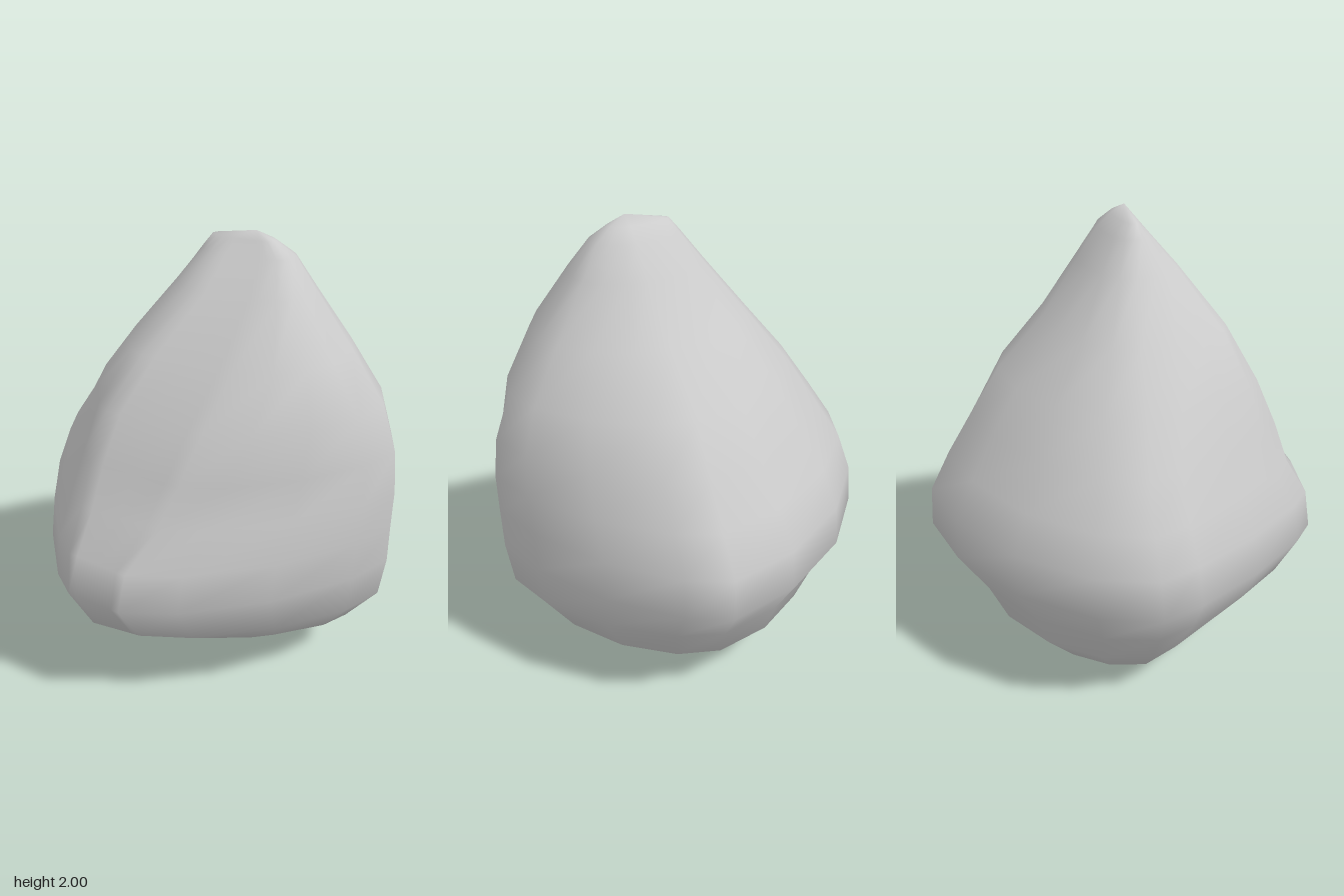
import * as THREE from 'three';

// Horizontal sections of the boulder: y, then the corners of the ring as [x, z]:
// left side, front left, front right, right side, back.
const SECTIONS = [
  [0.015, [0.14, -0.01], [-0.04, 0.12], [-0.16, 0.11], [-0.38, 0.0], [-0.02, -0.1]],
  [0.08, [0.4, 0.02], [0.0, 0.26], [-0.18, 0.26], [-0.46, 0.0], [0.04, -0.43]],
  [0.24, [0.65, 0.03], [0.0, 0.47], [-0.22, 0.47], [-0.61, -0.01], [0.09, -0.61]],
  [0.41, [0.79, 0.04], [-0.04, 0.73], [-0.26, 0.73], [-0.71, -0.02], [0.12, -0.7]],
  [0.6, [0.82, 0.05], [-0.07, 0.845], [-0.32, 0.81], [-0.835, -0.04], [0.15, -0.84]],
  [0.78, [0.825, 0.06], [-0.04, 0.83], [-0.32, 0.78], [-0.815, -0.05], [0.15, -0.83]],
  [0.95, [0.83, 0.06], [0.05, 0.71], [-0.31, 0.68], [-0.755, -0.06], [0.16, -0.74]],
  [1.13, [0.815, 0.05], [0.12, 0.66], [-0.29, 0.62], [-0.635, -0.05], [0.16, -0.63]],
  [1.33, [0.75, 0.04], [0.18, 0.565], [-0.25, 0.54], [-0.5, -0.02], [0.16, -0.5]],
  [1.55, [0.605, 0.04], [0.25, 0.43], [-0.14, 0.43], [-0.32, 0.01], [0.17, -0.29]],
  [1.78, [0.445, 0.05], [0.28, 0.26], [0.02, 0.26], [-0.135, 0.04], [0.19, -0.13]],
  [1.91, [0.36, 0.06], [0.27, 0.15], [0.07, 0.15], [-0.035, 0.06], [0.2, -0.04]],
  [1.965, [0.28, 0.07], [0.23, 0.105], [0.1, 0.105], [0.01, 0.07], [0.2, 0.02]],
];
// Sharpness of the span after each corner, at the base, belly and peak:
// below 1 is boxy, 1 a round quarter, 2 a straight line
const SPANS = [[1.4, 1.45, 0.85], [2, 2, 2], [1.5, 1.6, 1.05], [1.05, 1.2, 1], [1.15, 1.38, 1.15]];
const STEPS = 4; // points per span
const COUNT = STEPS * SPANS.length;
const { lerp, smoothstep } = THREE.MathUtils;

// One closed ring, with rounded spans between its corners
function ring([y, ...corners]) {
  const points = [];
  SPANS.forEach(([base, belly, peak], n) => {
    const from = corners[n], to = corners[(n + 1) % corners.length];
    const sharpness = lerp(lerp(base, belly, smoothstep(y, 0.1, 0.6)), peak, smoothstep(y, 1.1, 1.6));
    const startsAtSide = n === 0 || n === 3;
    for (let i = 0; i < STEPS; i++) {
      const t = (i / STEPS) * Math.PI / 2;
      const c = Math.cos(t) ** sharpness, s = Math.sin(t) ** sharpness;
      const [x, z] = startsAtSide
        ? [to[0] + (from[0] - to[0]) * c, from[1] + (to[1] - from[1]) * s]
        : [from[0] + (to[0] - from[0]) * s, to[1] + (from[1] - to[1]) * c];
      points.push(x, y, z);
    }
  });
  return points;
}

function boulderGeometry() {
  const positions = SECTIONS.flatMap(ring);
  const index = [];
  // Skin between neighbouring rings
  for (let r = 0; r < SECTIONS.length - 1; r++) {
    for (let j = 0; j < COUNT; j++) {
      const k = (j + 1) % COUNT;
      const a = r * COUNT + j, b = r * COUNT + k;
      index.push(a, a + COUNT, b, b, a + COUNT, b + COUNT);
    }
  }
  // Underside and peak close on single points
  const bottom = positions.length / 3, top = bottom + 1;
  const last = (SECTIONS.length - 1) * COUNT;
  positions.push(0.08, 0, -0.04, 0.2, 2, 0.08);
  for (let j = 0; j < COUNT; j++) {
    const k = (j + 1) % COUNT;
    index.push(bottom, j, k, top, last + k, last + j);
  }
  const geometry = new THREE.BufferGeometry();
  geometry.setAttribute('position', new THREE.Float32BufferAttribute(positions, 3));
  geometry.setIndex(index);
  geometry.computeVertexNormals();
  return geometry;
}

export function createModel() {
  const model = new THREE.Group();
  model.name = 'rock';
  const boulder = new THREE.Mesh(
    boulderGeometry(),
    new THREE.MeshStandardMaterial({ color: 0xcccccc }),
  );
  boulder.name = 'boulder';
  model.add(boulder);
  return model;
}
